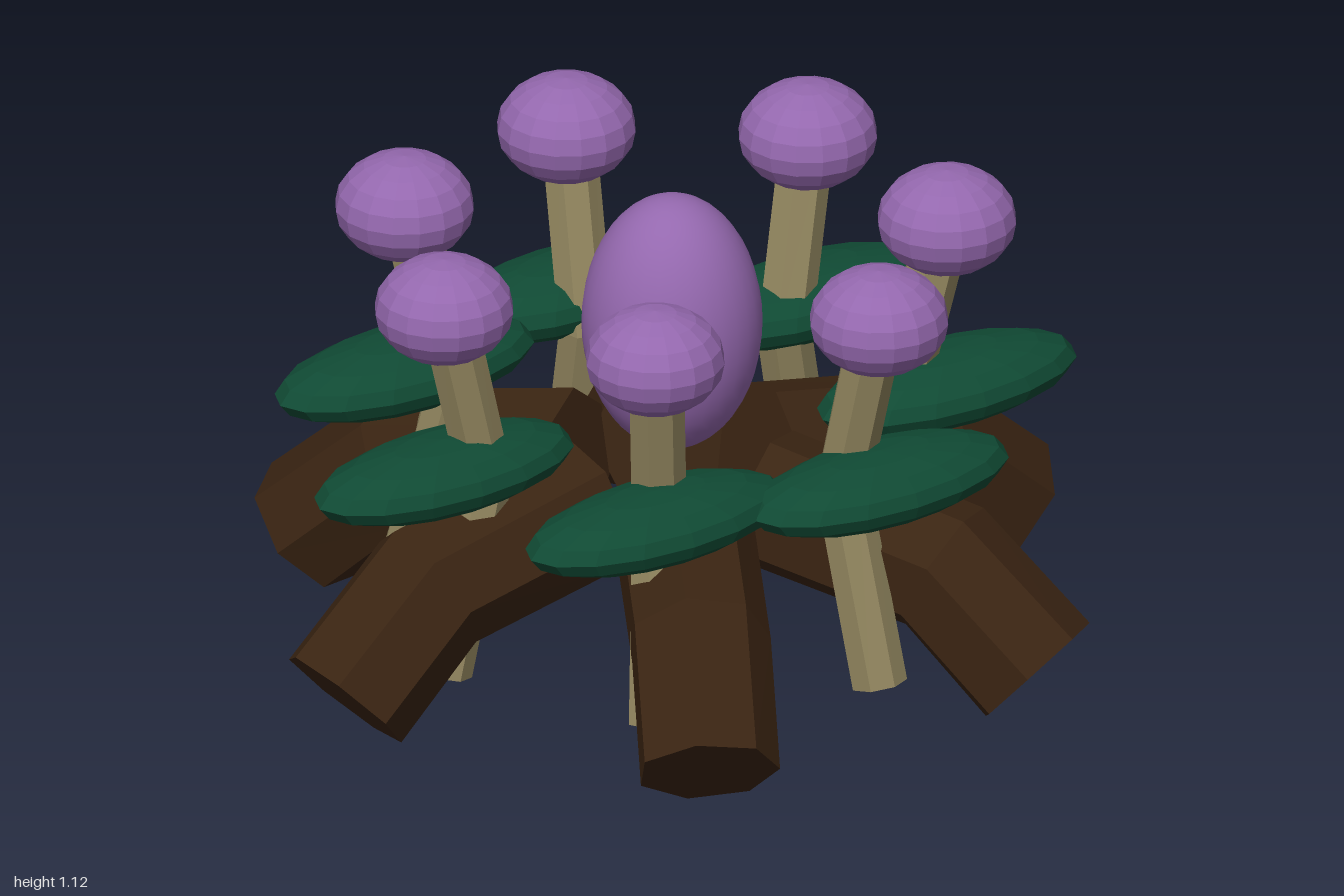
import * as THREE from 'three';

function material(name, color, flatShading = true) {
  const m = new THREE.MeshStandardMaterial({ color, flatShading });
  m.name = name;
  return m;
}

// Sweeps a polygon along a bent path in the XY plane, with capped ends.
function bentRod(path, radius, sides) {
  const pts = path.map(([x, y]) => new THREE.Vector2(x, y));
  const pos = [];
  const index = [];
  const last = pts.length - 1;
  pts.forEach((p, i) => {
    const a = p.clone().sub(pts[Math.max(i - 1, 0)]).normalize();
    const b = pts[Math.min(i + 1, last)].clone().sub(p).normalize();
    const t = a.add(b).normalize();
    for (let j = 0; j < sides; j++) {
      const ang = (j / sides) * Math.PI * 2;
      const up = Math.sin(ang) * radius;
      pos.push(p.x - t.y * up, p.y + t.x * up, -Math.cos(ang) * radius);
    }
  });
  const start = pos.length / 3;
  pos.push(pts[0].x, pts[0].y, 0, pts[last].x, pts[last].y, 0);
  for (let j = 0; j < sides; j++) {
    const k = (j + 1) % sides;
    for (let i = 0; i < last; i++) {
      const a = i * sides;
      const b = a + sides;
      index.push(a + j, a + k, b + k, a + j, b + k, b + j);
    }
    index.push(start, k, j, start + 1, last * sides + j, last * sides + k);
  }
  let g = new THREE.BufferGeometry();
  g.setAttribute('position', new THREE.Float32BufferAttribute(pos, 3));
  g.setIndex(index);
  g = g.toNonIndexed();
  g.computeVertexNormals();
  return g;
}

export function createModel() {
  const model = new THREE.Group();
  model.name = 'plantCluster';

  const bark = material('bark brown', 0x3a2412);
  const stem = material('stem tan', 0x92865f);
  const green = material('leaf green', 0x104a34);
  const purple = material('bloom purple', 0x9468ae);
  const smoothPurple = material('bulb purple', 0x9468ae, false);

  const add = (name, geometry, mat, parent = model) => {
    const mesh = new THREE.Mesh(geometry, mat);
    mesh.name = name;
    parent.add(mesh);
    return mesh;
  };

  // Central bulb
  const bulb = new THREE.SphereGeometry(1, 32, 24).scale(0.2, 0.3, 0.2);
  add('centralBulb', bulb, smoothPurple).position.y = 0.8;

  // Six bent roots radiating from the middle
  const rootGeo = bentRod([[0.225, 0.415], [0.655, 0.33], [0.885, 0.12]], 0.16, 7);
  for (let i = 0; i < 6; i++) {
    add('root' + (i + 1), rootGeo, bark).rotation.y = (i * Math.PI) / 3;
  }

  // Seven blooms: kinked stem, leaf lying along x, flattened head
  const stemGeo = bentRod([[0.615, 0.11], [0.505, 0.56], [0.61, 1.0]], 0.063, 7);
  const leafGeo = new THREE.SphereGeometry(1, 16, 8).scale(0.335, 0.08, 0.152);
  const headGeo = new THREE.SphereGeometry(1, 16, 10).scale(0.155, 0.12, 0.155);
  for (let i = 0; i < 7; i++) {
    const angle = Math.PI + (i * Math.PI * 2) / 7;
    const x = Math.cos(angle) * 0.615;
    const z = -Math.sin(angle) * 0.615;
    const bloom = new THREE.Group();
    bloom.name = 'bloom' + (i + 1);
    add('stem', stemGeo, stem, bloom).rotation.y = angle;
    add('leaf', leafGeo, green, bloom).position.set(x, 0.6, z);
    add('head', headGeo, purple, bloom).position.set(x, 1.0, z);
    model.add(bloom);
  }

  return model;
}
